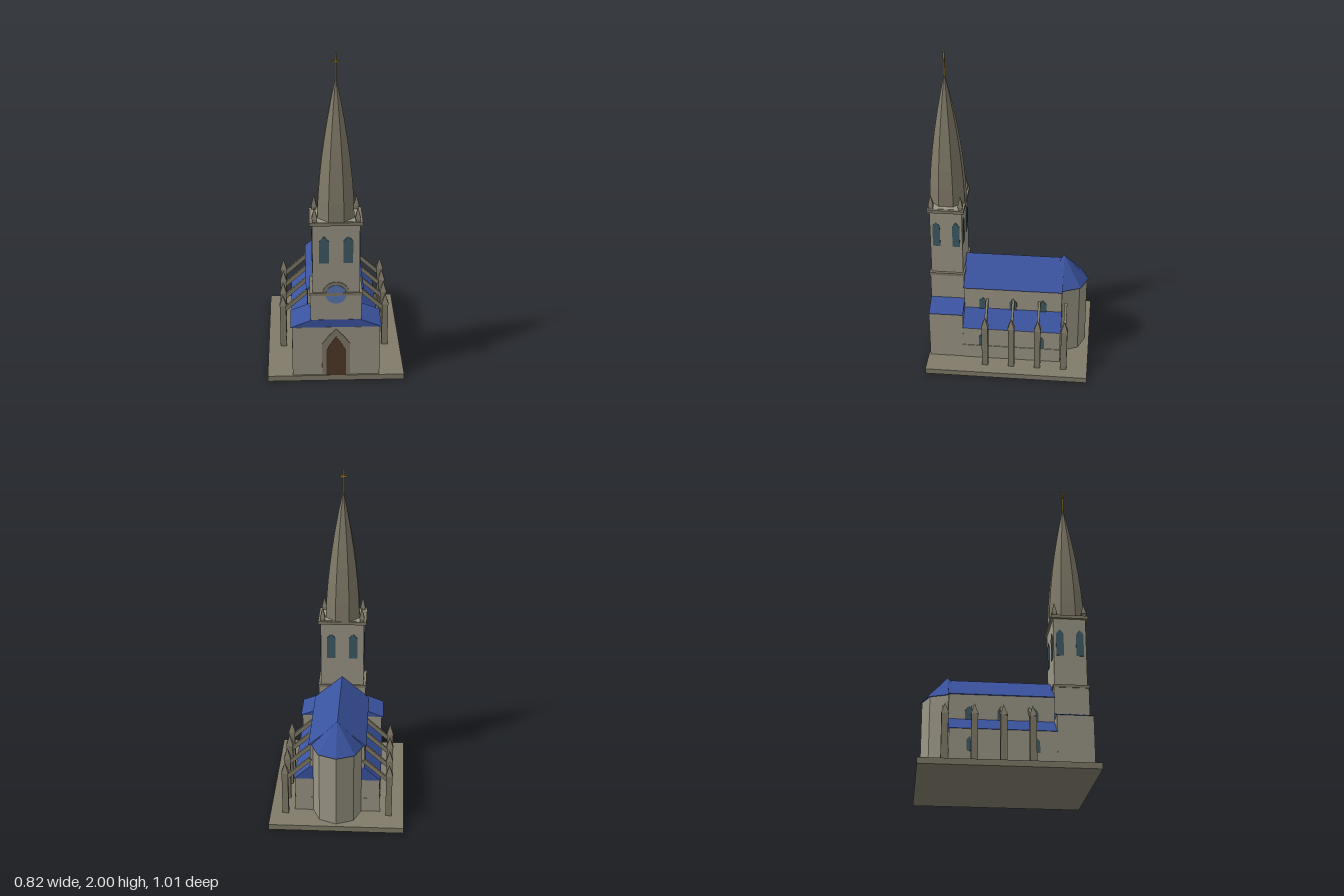
import * as THREE from 'three';

const mat = (color) => new THREE.MeshStandardMaterial({ color, flatShading: true });

export function createModel() {
  const root = new THREE.Group();
  const wall = mat(0x9a9585), trim = mat(0x807a68), roof = mat(0x3a539f);
  const glass = mat(0x3f5a64), wood = mat(0x503828), rose = mat(0x5a78b4), gold = mat(0x9a7a2c);
  const TZ = 0.386; // tower centre
  const sides = [1, -1];

  const add = (name, geo, material, x = 0, y = 0, z = 0, parent = root) => {
    const m = new THREE.Mesh(geo, material);
    m.name = name;
    m.position.set(x, y, z);
    parent.add(m);
    return m;
  };
  // box given by its centre in x and z and its bottom and top
  const block = (name, material, w, d, y0, y1, x = 0, z = 0, parent = root) =>
    add(name, new THREE.BoxGeometry(w, y1 - y0, d), material, x, (y0 + y1) / 2, z, parent);
  // cross-section in x and y, extruded from z0 to z1
  const prism = (name, material, points, z0, z1) => {
    const shape = new THREE.Shape(points.map(([x, y]) => new THREE.Vector2(x, y)));
    return add(name, new THREE.ExtrudeGeometry(shape, { depth: z1 - z0, bevelEnabled: false }), material, 0, 0, z0);
  };
  // four-sided pyramid of side w
  const pyramid = (name, w, y0, y1, x, z, parent = root) =>
    add(name, new THREE.ConeGeometry(w / Math.SQRT2, y1 - y0, 4).rotateY(Math.PI / 4), trim, x, (y0 + y1) / 2, z, parent);
  // pointed panel standing on its local y = 0 and facing +z
  const lancet = (name, material, w, h, shoulder, depth, x, y, z, turn = 0) => {
    const s = new THREE.Shape();
    s.moveTo(-w / 2, 0);
    s.lineTo(w / 2, 0);
    s.lineTo(w / 2, shoulder);
    s.lineTo(w * 0.28, shoulder + (h - shoulder) * 0.5);
    s.lineTo(0, h);
    s.lineTo(-w * 0.28, shoulder + (h - shoulder) * 0.5);
    s.lineTo(-w / 2, shoulder);
    const geo = new THREE.ExtrudeGeometry(s, { depth, bevelEnabled: false }).translate(0, 0, -depth / 2);
    add(name, geo, material, x, y, z).rotation.y = turn;
  };

  block('base', trim, 0.82, 1.006, 0, 0.035);

  // west block with a lean-to roof on each side of the tower
  block('westBlock', wall, 0.52, 0.212, 0.035, 0.36, 0, TZ);
  prism('westRoof', roof, [[-0.27, 0.36], [0.27, 0.36], [0.14, 0.411], [-0.14, 0.411]], 0.279, 0.491);

  // doorway
  lancet('doorFrame', trim, 0.166, 0.315, 0.215, 0.014, 0, 0.035, 0.491);
  lancet('door', wood, 0.116, 0.265, 0.17, 0.02, 0, 0.035, 0.491);

  // tower
  block('lowerTower', wall, 0.3, 0.208, 0.3, 0.575, 0, TZ);
  block('towerBand', trim, 0.308, 0.218, 0.572, 0.59, 0, TZ);
  block('upperTower', wall, 0.274, 0.196, 0.575, 1.042, 0, TZ);
  block('cornice', trim, 0.306, 0.222, 1.02, 1.04, 0, TZ);
  for (const s of sides) {
    for (const [z, turn] of [[TZ + 0.098, 0], [TZ - 0.098, Math.PI]])
      lancet('belfryWindow', glass, 0.056, 0.17, 0.14, 0.006, s * 0.07, 0.78, z, turn);
    for (const t of sides) {
      lancet('belfryWindow', glass, 0.045, 0.17, 0.14, 0.006, s * 0.137, 0.78, TZ + t * 0.06, Math.PI / 2);
      block('pinnacleBase', trim, 0.026, 0.026, 1.038, 1.065, s * 0.124, TZ + t * 0.089);
      pyramid('pinnacle', 0.033, 1.06, 1.13, s * 0.124, TZ + t * 0.089);
    }
  }

  // round window
  add('roseFrame', new THREE.CylinderGeometry(0.08, 0.08, 0.012, 24).rotateX(Math.PI / 2), trim, 0, 0.578, 0.483);
  add('roseWindow', new THREE.CylinderGeometry(0.06, 0.06, 0.014, 24).rotateX(Math.PI / 2), rose, 0, 0.578, 0.486);

  // eight-sided bulging spire
  const profile = [];
  for (let i = 0; i <= 7; i++) {
    const t = i / 7;
    profile.push(new THREE.Vector2(0.115 * (1 - Math.pow(t, 1.67)) + 0.003 * t, 1.04 + 0.82 * t));
  }
  profile.push(new THREE.Vector2(0, 1.865));
  add('spire', new THREE.LatheGeometry(profile, 8, Math.PI / 8), trim, 0, 0, TZ);
  block('crossPost', gold, 0.01, 0.01, 1.85, 2, 0, TZ);
  block('crossArm', gold, 0.046, 0.01, 1.95, 1.96, 0, TZ);

  // nave and side aisles
  const front = 0.283, back = -0.33, mid = (front + back) / 2, len = front - back;
  block('nave', wall, 0.33, len - 0.004, 0.035, 0.5, 0, mid);
  prism('naveRoof', roof, [[-0.175, 0.5], [0.175, 0.5], [0, 0.65]], back, front);
  block('aisles', wall, 0.518, len - 0.004, 0.035, 0.262, 0, mid);
  block('aislePlinth', wall, 0.526, len - 0.002, 0.035, 0.128, 0, mid);
  prism('aisleRoof', roof, [[-0.265, 0.26], [0.265, 0.26], [0.165, 0.35], [-0.165, 0.35]], back, front);
  for (const s of sides)
    for (const z of [0.163, -0.025, -0.21]) {
      lancet('aisleWindow', glass, 0.038, 0.085, 0.065, 0.006, s * 0.259, 0.13, z, Math.PI / 2);
      lancet('clerestoryWindow', glass, 0.046, 0.1, 0.075, 0.006, s * 0.165, 0.33, z, Math.PI / 2);
    }

  // eight-sided apse with a pointed roof
  add('apse', new THREE.CylinderGeometry(0.147, 0.147, 0.465, 8), wall, 0, 0.2675, -0.33);
  add('apseRoof', new THREE.ConeGeometry(0.156, 0.167, 8), roof, 0, 0.5835, -0.33);

  // flying buttresses
  const from = new THREE.Vector2(0.31, 0.283), to = new THREE.Vector2(0.162, 0.418);
  const run = to.clone().sub(from);
  for (const s of sides)
    for (const z of [0.136, -0.027, -0.19, -0.355]) {
      const g = new THREE.Group();
      g.name = 'flyingButtress';
      root.add(g);
      block('pier', trim, 0.038, 0.038, 0.035, 0.325, s * 0.317, z, g);
      pyramid('pierCap', 0.043, 0.32, 0.388, s * 0.317, z, g);
      const bar = add('flyer', new THREE.BoxGeometry(run.length(), 0.025, 0.016), trim,
        s * (from.x + to.x) / 2, (from.y + to.y) / 2, z, g);
      bar.rotation.z = s * Math.atan2(run.y, run.x);
    }
  return root;
}
